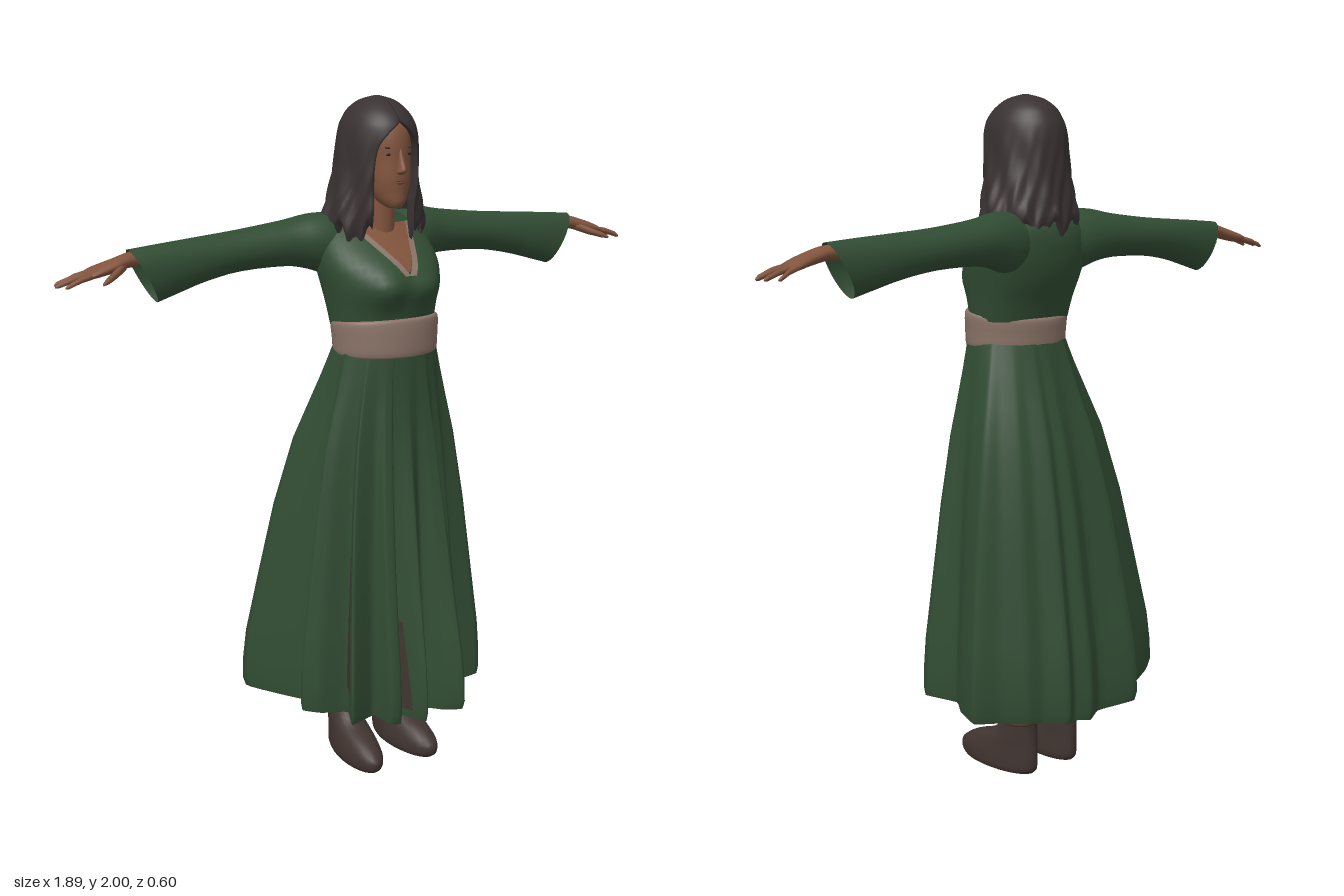
import * as THREE from 'three';

const V = (x, y, z) => new THREE.Vector3(x, y, z);
const paint = (name, color, double) => {
  const m = new THREE.MeshStandardMaterial({ color });
  m.name = name;
  if (double) m.side = THREE.DoubleSide;
  return m;
};

// Skin over a list of rings (arrays of points); optional closed loops and end caps
function loft(rings, { closed = true, capA = false, capB = false } = {}) {
  const n = rings[0].length, pos = [], idx = [];
  rings.forEach(r => r.forEach(p => pos.push(p.x, p.y, p.z)));
  for (let i = 0; i + 1 < rings.length; i++)
    for (let j = 0; j < (closed ? n : n - 1); j++) {
      const a = i * n + j, b = i * n + (j + 1) % n;
      idx.push(a, b, b + n, a, b + n, a + n);
    }
  const cap = (k, flip) => {
    const c = rings[k].reduce((s, p) => s.add(p), V(0, 0, 0)).divideScalar(n);
    const ci = pos.length / 3;
    pos.push(c.x, c.y, c.z);
    for (let j = 0; j < n; j++) {
      const a = k * n + j, b = k * n + (j + 1) % n;
      flip ? idx.push(ci, b, a) : idx.push(ci, a, b);
    }
  };
  if (capA) cap(0, true);
  if (capB) cap(rings.length - 1, false);
  const g = new THREE.BufferGeometry();
  g.setAttribute('position', new THREE.Float32BufferAttribute(pos, 3));
  g.setIndex(idx);
  g.computeVertexNormals();
  return g;
}

// Subdivide a table of section values with a smooth spline
function smooth(rows, k = 3) {
  const out = [], at = i => rows[Math.min(Math.max(i, 0), rows.length - 1)];
  for (let i = 0; i < rows.length - 1; i++)
    for (let s = 0; s < k; s++) {
      const t = s / k;
      out.push(rows[i].map((b, c) => {
        const a = at(i - 1)[c], d = at(i + 1)[c], e = at(i + 2)[c];
        return b + 0.5 * t * (d - a + t * (2 * a - 5 * b + 4 * d - e + t * (3 * (b - d) + e - a)));
      }));
    }
  out.push(rows[rows.length - 1]);
  return out;
}

const loop = (n, f) => Array.from({ length: n }, (_, i) => f(i / n * Math.PI * 2));
// Horizontal section: [y, half width, front z, back z]
const ringY = ([y, rx, zf, zb], n = 28, x = 0) =>
  loop(n, a => V(x + rx * Math.sin(a), y, (zf + zb) / 2 + (zf - zb) / 2 * Math.cos(a)));
// Section across an arm or finger: [x, y, half height, z, half depth, slant]
const ringX = ([x, y, ry, z, rz, slant = 0], n = 18) =>
  loop(n, a => V(x + slant * Math.cos(a), y + ry * Math.cos(a), z + rz * Math.sin(a)));
// Linear lookup in a table sorted by its first column
function lookup(rows, y) {
  let i = 0;
  while (i < rows.length - 2 && rows[i + 1][0] < y) i++;
  const t = THREE.MathUtils.clamp((y - rows[i][0]) / (rows[i + 1][0] - rows[i][0]), 0, 1);
  return rows[i].map((v, c) => v + (rows[i + 1][c] - v) * t);
}

// Bodice surface with a bust in front and a broad, flat back
const TORSO = smooth([[1.36, .155, .155, -.08], [1.42, .163, .165, -.1], [1.48, .172, .18, -.128],
  [1.54, .18, .155, -.143], [1.6, .17, .085, -.145], [1.645, .135, .03, -.13], [1.685, .05, .01, -.09]]);
function torsoPoint(row, a) {
  const [y, rx, zf, zb] = row, x = rx * Math.sin(a), c = Math.cos(a);
  const bust = c > 0 ? .032 * c * Math.exp(-(((y - 1.48) / .055) ** 2) - ((Math.abs(x) - .075) / .055) ** 2) : 0;
  const depth = c < 0 ? -((-c) ** .7) : c;
  return V(x, y, (zf + zb) / 2 + (zf - zb) / 2 * depth + bust);
}
function torsoFront(x, y, lift) {
  const row = lookup(TORSO, y);
  const p = torsoPoint(row, Math.asin(THREE.MathUtils.clamp(x / row[1], -1, 1)));
  p.z += lift;
  return p;
}

// Skirt: an oval waist blending into a deeply pleated hem
const HEM = [[0, .29], [.035, .21], [.08, .27], [.125, .3], [.12, .2], [.17, .205], [.19, .13], [.29, .135],
  [.25, .03], [.3, -.05], [.34, -.16], [.27, -.19], [.2, -.24], [.15, -.25], [.09, -.295], [.05, -.275],
  [0, -.295], [-.06, -.265], [-.18, -.3], [-.22, -.235], [-.385, -.155], [-.32, -.05], [-.26, .03],
  [-.315, .085], [-.27, .125], [-.19, .145], [-.23, .24], [-.13, .195], [-.12, .275], [-.085, .28],
  [-.06, .2], [-.02, .27]];
const hemCurve = new THREE.CatmullRomCurve3(HEM.map(([x, z]) => V(x, 0, z)), true, 'catmullrom', .2);
const FLARE = [[0, .97], [.025, 1], [.08, .995], [.17, .955], [.36, .8], [.55, .64], [.74, .43], [.92, .14], [1, .02]];
function skirtPoint(u, h, out = 0) {
  const p = hemCurve.getPoint(((u % 1) + 1) % 1), a = Math.atan2(p.x, p.z), w = lookup(FLARE, h)[1];
  const tx = .152 * Math.sin(a), tz = .045 + .125 * Math.cos(a);
  const front = THREE.MathUtils.smoothstep(p.z, -.05, .15);
  const wz = w + (w * w - w) * front;
  const y0 = .2 + .1 * Math.abs(p.x);
  return V(tx + (p.x - tx) * w + out * Math.sin(a), y0 + (1.3 - y0) * h, tz + (p.z - tz) * wz + out * Math.cos(a));
}

export function createModel() {
  const model = new THREE.Group();
  const green = paint('green cloth', 0x314c33, true), taupe = paint('taupe cloth', 0x8a7367, true);
  const skin = paint('skin', 0x80533c, true), hairMat = paint('dark hair', 0x393132, true);
  const boot = paint('boot leather', 0x403430), strapMat = paint('strap leather', 0x4a2e20);
  const lining = paint('dark lining', 0x40352f, true), lipMat = paint('lips', 0x6c4232);
  const eyeMat = paint('eyes', 0x2b1e19);
  const add = (name, geo, mat, parent = model) => {
    const m = new THREE.Mesh(geo, mat);
    m.name = name;
    parent.add(m);
    return m;
  };
  const blob = (name, mat, parent, [x, y, z], [sx, sy, sz]) => {
    const m = add(name, new THREE.SphereGeometry(1, 14, 10), mat, parent);
    m.position.set(x, y, z);
    m.scale.set(sx, sy, sz);
    return m;
  };

  // Dress
  const heights = [0, .025, .08, .125, .17, .22, .27, .315, .36, .45, .55, .65, .74, .83, .92, 1];
  const count = HEM.length * 4;
  add('skirt', loft(heights.map(h => Array.from({ length: count }, (_, j) => skirtPoint(j / count, h)))), green);
  add('bodice', loft(TORSO.map(r => loop(48, a => torsoPoint(r, a))), { capB: true }), green);
  add('belt', loft(smooth([[1.28, .148, .168, -.078], [1.287, .157, .177, -.086], [1.33, .16, .178, -.088],
    [1.375, .163, .176, -.09], [1.39, .158, .17, -.084], [1.392, .14, .15, -.07]])
    .map(r => ringY(r, 36).map(p => p.setY(p.y - Math.max(0, .17 - p.z) * .09 * (p.y - 1.28) / .11)))), taupe);

  // Dark slits set in the skirt's folds, on the same rows as the skirt
  const slit = (u, half, low, top) => loft(heights.filter(h => h >= low && h <= top).map(h =>
    [-1, -.5, 0, .5, 1].map(s => skirtPoint(u + s * half * (1 - .75 * (h - low) / (top - low)), h, .007))),
  { closed: false });
  add('frontSlit', slit(30.3 / 32, .012, .02, .28), lining);
  add('sideSlit', slit(25.35 / 32, .011, .05, .46), lining);

  // Neckline: bare chest with a trimmed V edge
  const rows = Array.from({ length: 10 }, (_, i) => i / 9);
  const vHalf = t => .004 + .084 * t;
  add('chest', loft(rows.map(t => [-1, -.6, -.3, 0, .3, .6, 1].map(s =>
    torsoFront(s * vHalf(t), 1.525 + .12 * t, .005))), { closed: false }), skin);
  for (const s of [-1, 1])
    add('necklineTrim', loft(rows.map(t => [-.002, .008, .018].map(d =>
      torsoFront(s * (vHalf(t) + d - .004), 1.515 + .13 * t, .009))), { closed: false }), taupe);
  add('neck', loft(smooth([[1.57, .05, .06, -.06], [1.65, .044, .062, -.05], [1.76, .045, .065, -.05]])
    .map(r => ringY(r))), skin);

  // Head and face
  const head = new THREE.Group();
  head.name = 'head';
  model.add(head);
  add('face', loft(smooth([[1.697, .02, .118, .07], [1.712, .036, .127, .03], [1.742, .053, .128, 0],
    [1.78, .065, .131, -.04], [1.83, .071, .129, -.07], [1.88, .073, .129, -.08], [1.93, .066, .114, -.07],
    [1.965, .035, .06, -.04]]).map(r => ringY(r, 32)), { capA: true, capB: true }), skin, head);
  add('nose', loft(smooth([[1.79, .008, .135, .11], [1.796, .015, .147, .1], [1.805, .012, .153, .1],
    [1.83, .009, .141, .1], [1.862, .008, .129, .1]]).map(r => ringY(r, 16)), { capA: true, capB: true }), skin, head);
  blob('upperLip', lipMat, head, [0, 1.773, .126], [.019, .003, .006]);
  blob('lowerLip', lipMat, head, [0, 1.767, .126], [.016, .004, .007]);
  for (const s of [-1, 1]) {
    blob('eye', eyeMat, head, [s * .029, 1.845, .117], [.013, .004, .004]);
    blob('eyebrow', hairMat, head, [s * .03, 1.863, .117], [.017, .0028, .004]).rotation.z = s * .12;
  }

  // Hair: [y, half width, front z, back z, half angle of the opening, inner scale]
  const hairRows = smooth([[1.62, .136, .098, -.142, .5, .97], [1.65, .15, .106, -.148, .47, .86],
    [1.7, .14, .112, -.142, .5, .83], [1.75, .127, .118, -.137, .57, .83], [1.81, .116, .13, -.135, .64, .84],
    [1.87, .11, .137, -.134, .58, .86], [1.91, .103, .134, -.128, .3, .88], [1.935, .094, .124, -.117, .02, .88],
    [1.962, .077, .1, -.098, .01, .86], [1.987, .047, .06, -.058, .01, .8], [2, .006, .01, -.006, .01, .8]], 4);
  const N = 90;
  const hairRing = ([y, rx, zf, zb, gap, inner]) => {
    const low = THREE.MathUtils.clamp((1.92 - y) / .25, 0, 1);
    const at = (j, k) => {
      const a = gap + (2 * Math.PI - 2 * gap) * j / (N - 1);
      const r = k * (1 + low * (.045 * Math.sin(9 * a + 26 * y) + .025 * Math.sin(19 * a - 34 * y)));
      const drop = Math.max(0, (1.7 - y) / .08) * (.016 * Math.sin(9 * a) + .014 * Math.sin(21 * a + 1));
      return V(rx * r * Math.sin(a), y + drop, (zf + zb) / 2 + (zf - zb) / 2 * r * Math.cos(a));
    };
    const outer = Array.from({ length: N }, (_, j) => at(j, 1));
    const inside = Array.from({ length: N }, (_, j) => at(N - 1 - j, inner));
    return outer.concat(inside);
  };
  add('hair', loft(hairRows.map(hairRing)), hairMat, head);

  // Arms, legs and boots, built on the left and mirrored
  const fingers = [[-.096, .912, -.113, .0075], [-.076, .938, -.088, .0085], [-.055, .945, -.06, .0085],
    [-.034, .927, -.032, .008]];
  for (const s of [1, -1]) {
    const side = new THREE.Group();
    side.name = s > 0 ? 'leftLimbs' : 'rightLimbs';
    side.scale.x = s;
    model.add(side);
    add('sleeve', loft(smooth([[.06, 1.588, .07, -.06, .06, 0], [.13, 1.587, .088, -.062, .076, 0],
      [.19, 1.595, .078, -.07, .074, 0], [.26, 1.594, .065, -.08, .066, 0], [.4, 1.584, .058, -.083, .057, 0],
      [.52, 1.57, .062, -.076, .05, .01], [.62, 1.554, .07, -.068, .046, .022], [.7, 1.541, .075, -.063, .043, .04]])
      .map(r => ringX(r, 28))), green, side);
    add('hand', loft(smooth([[.6, 1.585, .026, -.068, .028], [.72, 1.59, .021, -.062, .025],
      [.78, 1.578, .019, -.056, .033], [.835, 1.563, .015, -.063, .041], [.862, 1.555, .009, -.065, .037]])
      .map(r => ringX(r)), { capA: true, capB: true }), skin, side);
    for (const [z, tx, tz, r] of fingers)
      add('finger', loft([[.84, 1.56, r, z, r], [(.84 + tx) / 2, 1.55, r, (z + tz) / 2, r],
        [tx - .008, 1.536, r * .8, tz, r * .8], [tx, 1.533, r * .3, tz, r * .3]]
        .map(q => ringX(q, 10)), { capA: true, capB: true }), skin, side);
    add('thumb', loft([[.755, 1.577, .013, -.045, .014], [.79, 1.562, .012, -.018, .014],
      [.825, 1.549, .009, .008, .011], [.842, 1.542, .004, .018, .005]]
      .map(q => ringX(q, 10)), { capA: true, capB: true }), skin, side);
    add('leg', loft(smooth([[.18, .038, -.02, -.115], [.4, .052, -.005, -.13], [.55, .05, .01, -.1],
      [.9, .072, .09, -.07], [1.2, .07, .12, -.06]]).map(r => ringY(r, 20, .085))), skin, side);
    // Toes turn slightly outward
    add('boot', loft(smooth([[0, .053, .155, -.118], [.015, .058, .17, -.13], [.045, .058, .168, -.132],
      [.08, .053, .115, -.131], [.11, .049, .035, -.128], [.15, .046, -.004, -.126], [.2, .047, -.006, -.13],
      [.235, .05, -.003, -.133]]).map(r => ringY(r, 26, .084).map(p => p.setX(p.x + .07 * (p.z + .07)))),
    { capA: true, capB: true }), boot, side);
    [.165, .19, .212].forEach((y, i) => {
      const strap = add('bootStrap', new THREE.TorusGeometry(.0475, .005, 6, 28), strapMat, side);
      strap.position.set(.084, y, -.067);
      strap.rotation.set(Math.PI / 2, i % 2 ? .14 : -.14, 0);
      strap.scale.y = 1.31;
    });
  }
  return model;
}
